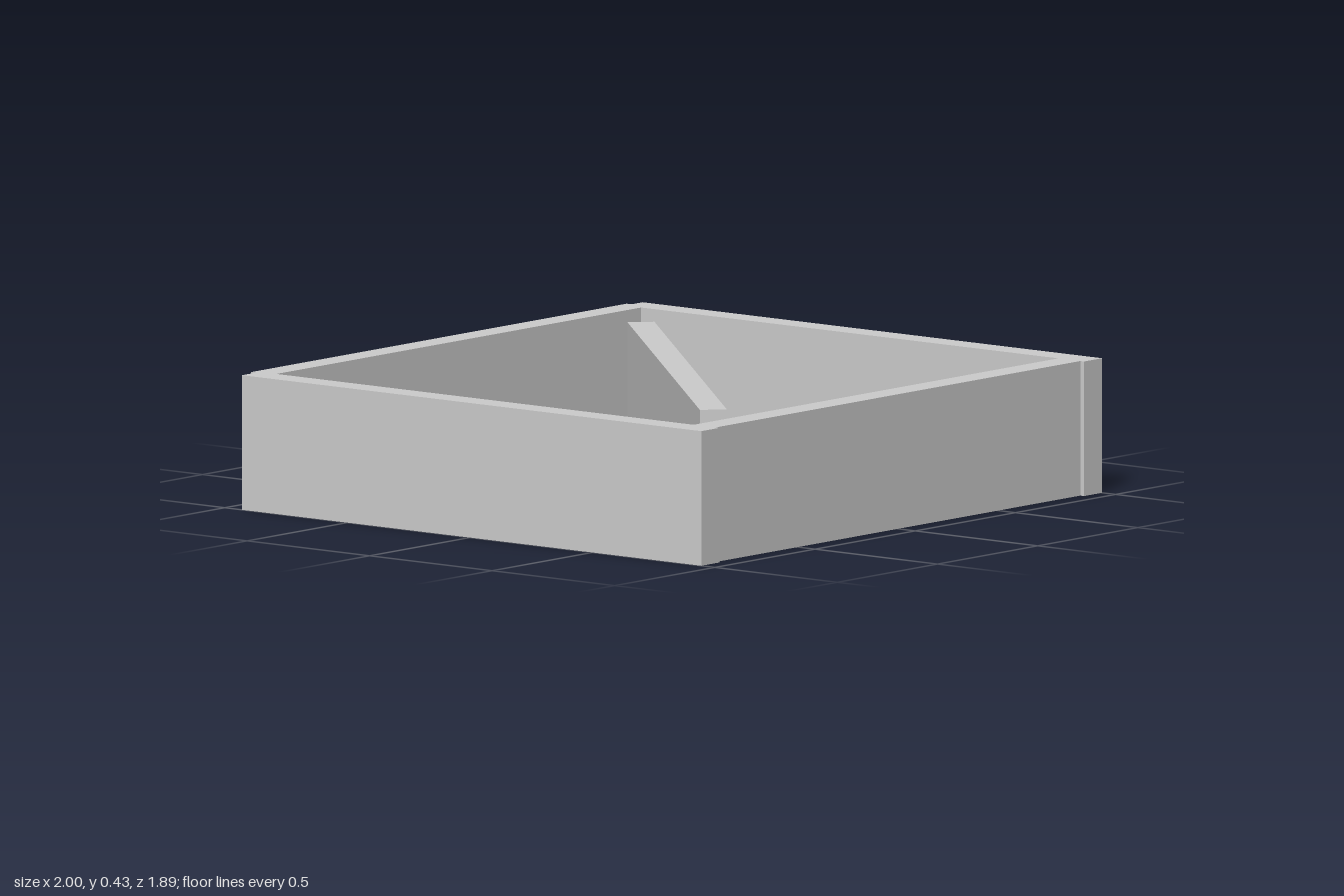
import * as THREE from 'three';

const HEIGHT = 0.43;

export function createModel() {
  const tray = new THREE.Group();
  tray.name = 'tray';
  const material = new THREE.MeshStandardMaterial({ color: 0xcccccc, flatShading: true });

  // Box given by its extents on each axis
  function board(name, [x0, x1], [y0, y1], [z0, z1]) {
    const mesh = new THREE.Mesh(new THREE.BoxGeometry(x1 - x0, y1 - y0, z1 - z0), material);
    mesh.position.set((x0 + x1) / 2, (y0 + y1) / 2, (z0 + z1) / 2);
    mesh.name = name;
    tray.add(mesh);
    return mesh;
  }

  // Side walls, running past the front wall
  board('rightWall', [-1, -0.91], [0, HEIGHT], [-0.93, 0.945]);
  board('leftWall', [0.91, 1], [0, HEIGHT], [-0.93, 0.945]);

  // Back wall lapping behind the sides, front wall set between them
  board('backWall', [-0.93, 0.945], [0, HEIGHT], [-0.95, -0.863]);
  board('frontWall', [-0.91, 0.91], [0, HEIGHT], [0.84, 0.93]);

  // Floor panel with a narrow gap along the right wall
  board('floor', [-0.903, 0.91], [0.005, 0.06], [-0.863, 0.84]);

  // Loose board standing diagonally across the inside
  const divider = board('diagonalBoard', [-0.912, 0.962], [0, HEIGHT], [-0.035, 0.051]);
  divider.rotation.y = 0.808;

  return tray;
}
